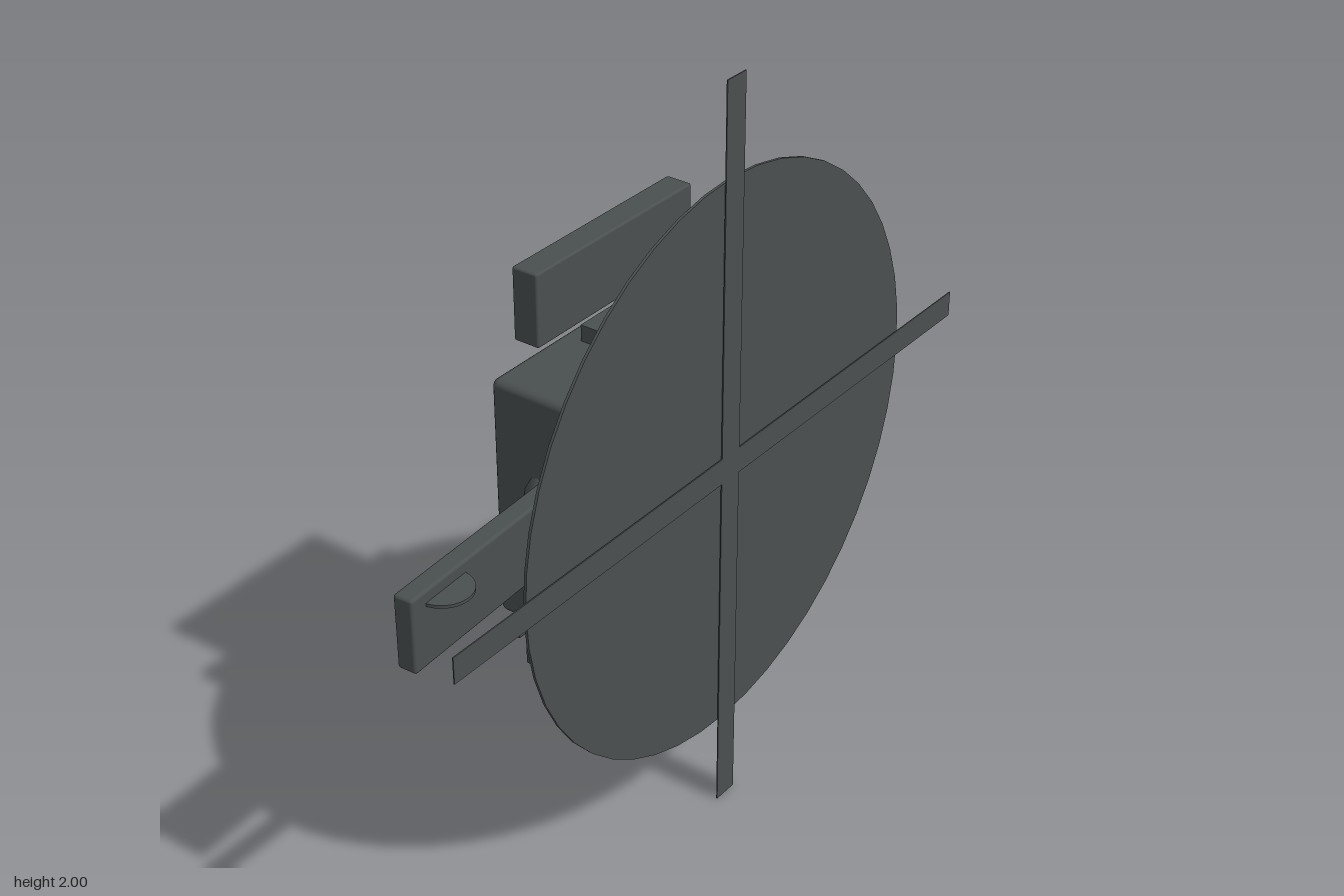
import * as THREE from 'three';
import { RoundedBoxGeometry } from 'three/addons/geometries/RoundedBoxGeometry.js';

export function createModel() {
  const model = new THREE.Group();
  const gunmetal = new THREE.MeshStandardMaterial({ color: 0x4a4f50 });
  const CY = 1; // height of the fuselage axis

  const add = (name, geometry, x, y, z) => {
    const mesh = new THREE.Mesh(geometry, gunmetal);
    mesh.name = name;
    mesh.position.set(x, y, z);
    model.add(mesh);
    return mesh;
  };
  const ellipsoid = (rx, ry, rz) => new THREE.SphereGeometry(1, 48, 32).scale(rx, ry, rz);
  const box = (w, h, d, r) => new RoundedBoxGeometry(w, h, d, 2, r);

  // Fuselage: long ellipsoid, boxy cabin and a slightly tilted nose
  add('fuselage', ellipsoid(0.57, 0.325, 0.143), 0.1, CY, -0.032);
  add('cabin', box(0.77, 0.64, 0.24, 0.018), -0.055, CY, -0.042);
  add('nose', ellipsoid(0.14, 0.3, 0.052), 0.575, CY, 0.004).rotation.y = 0.2;

  // Door block, standing out of both cabin sides
  add('doors', new THREE.BoxGeometry(0.43, 0.725, 0.155), 0.035, CY, -0.028);

  // Landing pods on each side
  for (const side of [-1, 1]) {
    add('landingPod', box(0.585, 0.19, 0.072, 0.006), -0.038, CY + side * 0.46, -0.144);
  }

  // Thin rod through the lower pod
  add('podRod', new THREE.CylinderGeometry(0.004, 0.004, 0.76, 8).rotateZ(Math.PI / 2), -0.02, 0.585, -0.14);

  // Tail boom and small tail rotor
  add('tailBoom', box(0.56, 0.195, 0.052, 0.008), -0.69, CY + 0.002, 0.016).rotation.y = 0.055;
  add('tailRotor', new THREE.CylinderGeometry(0.07, 0.07, 0.008, 32), -0.853, 1.065, 0.045);

  // Gun: barrel with a wider muzzle
  const gun = new THREE.Group();
  gun.name = 'gun';
  for (const [name, radius, length, x] of [['barrel', 0.023, 0.27, 0.135], ['muzzle', 0.039, 0.07, 0.295]]) {
    const part = new THREE.Mesh(new THREE.CylinderGeometry(radius, radius, length, 24).rotateZ(Math.PI / 2), gunmetal);
    part.name = name;
    part.position.x = x;
    gun.add(part);
  }
  gun.position.set(0.5, CY, -0.138);
  gun.rotation.y = 0.07;
  model.add(gun);

  // Main rotor: sweep disc with two crossed blades in front
  add('rotorDisc', new THREE.CylinderGeometry(0.752, 0.752, 0.007, 48).rotateX(Math.PI / 2), 0, CY, 0.185);
  add('rotorBladeVertical', new THREE.BoxGeometry(0.07, 2, 0.003), 0, CY, 0.196);
  add('rotorBladeHorizontal', new THREE.BoxGeometry(2, 0.07, 0.003), 0, CY, 0.196);

  return model;
}
